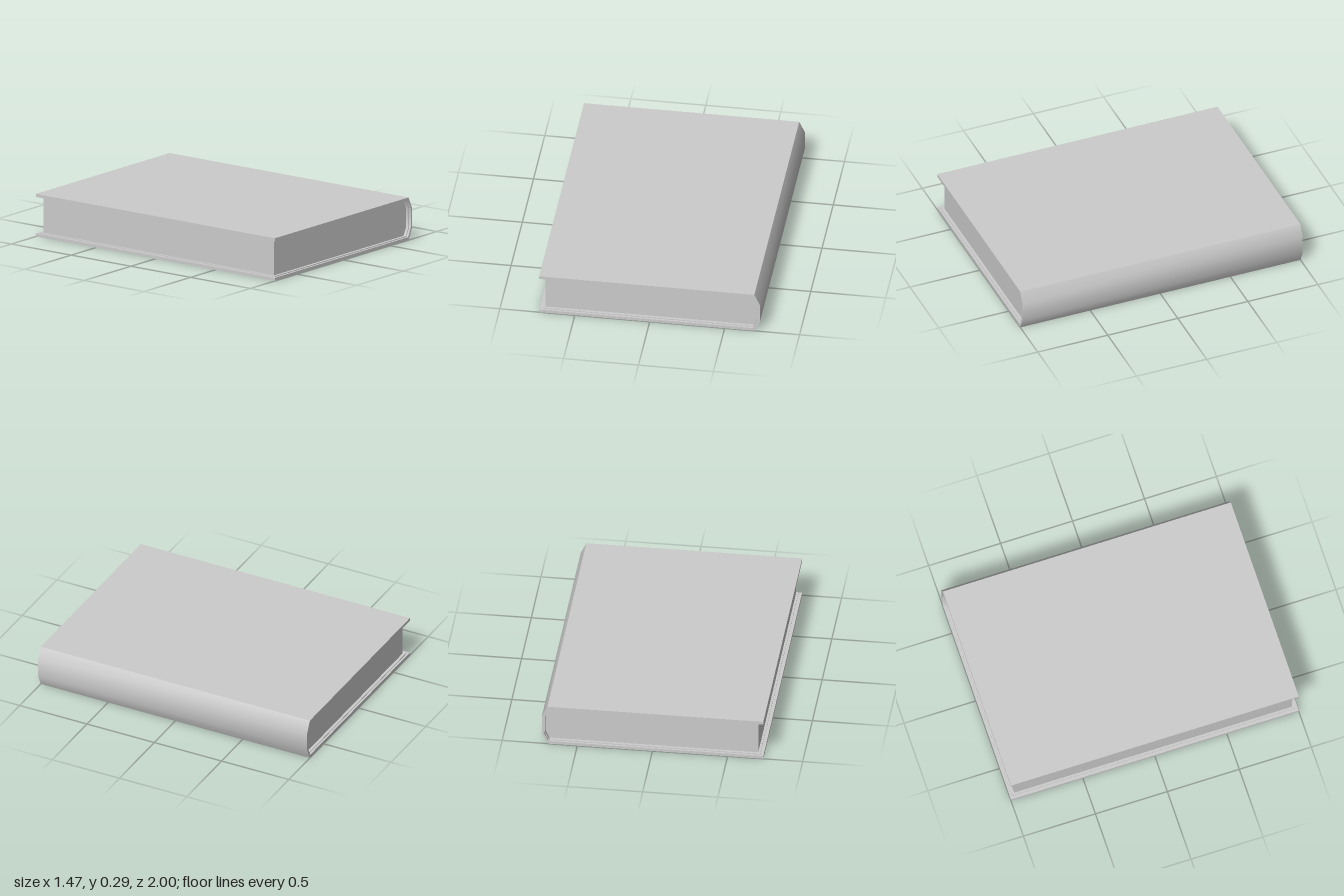
import * as THREE from 'three';
import { toCreasedNormals } from 'three/addons/utils/BufferGeometryUtils.js';

const MID = 0.145; // half of the book's thickness

// Half profile: free edge x, board height h, shoulder x, spine height s, spine x
const upperLine = ([edge, h, shoulder, s, spine]) => [[edge, h], [shoulder, h], [spine, s]];
const mirrorY = (pts) => pts.map(([x, y]) => [x, -y]).reverse();
const wrap = (p) => [...upperLine(p), ...mirrorY(upperLine(p))];

function slab(name, points, halfLength) {
  const shape = new THREE.Shape(points.map(([x, y]) => new THREE.Vector2(x, y + MID)));
  const extruded = new THREE.ExtrudeGeometry(shape, { depth: halfLength * 2, bevelEnabled: false });
  extruded.translate(0, 0, -halfLength);
  // Spine facets blend smoothly, board edges stay sharp
  const mesh = new THREE.Mesh(
    toCreasedNormals(extruded, 0.6),
    new THREE.MeshStandardMaterial({ color: 0xcccccc })
  );
  mesh.name = name;
  return mesh;
}

export function createModel() {
  const book = new THREE.Group();
  book.name = 'book';

  const outer = [-0.738, 0.145, 0.698, 0.066, 0.736];
  const inner = [-0.738, 0.124, 0.692, 0.063, 0.722];
  const lining = [-0.715, 0.119, 0.689, 0.062, 0.716];
  const pages = [-0.7, 0.119, 0.689, 0.062, 0.716];

  // Hard cover: two boards joined by a faceted spine
  book.add(slab('cover', [...wrap(outer), ...wrap(inner).reverse()], 1));
  // Thin lining between cover and pages
  book.add(slab('endpaper', [...wrap(inner).map(([x, y]) => [Math.max(x, -0.715), y]),
    ...wrap(lining).reverse()], 0.985));
  // Page block, set back from the cover on three sides
  book.add(slab('pages', wrap(pages), 0.965));

  return book;
}
